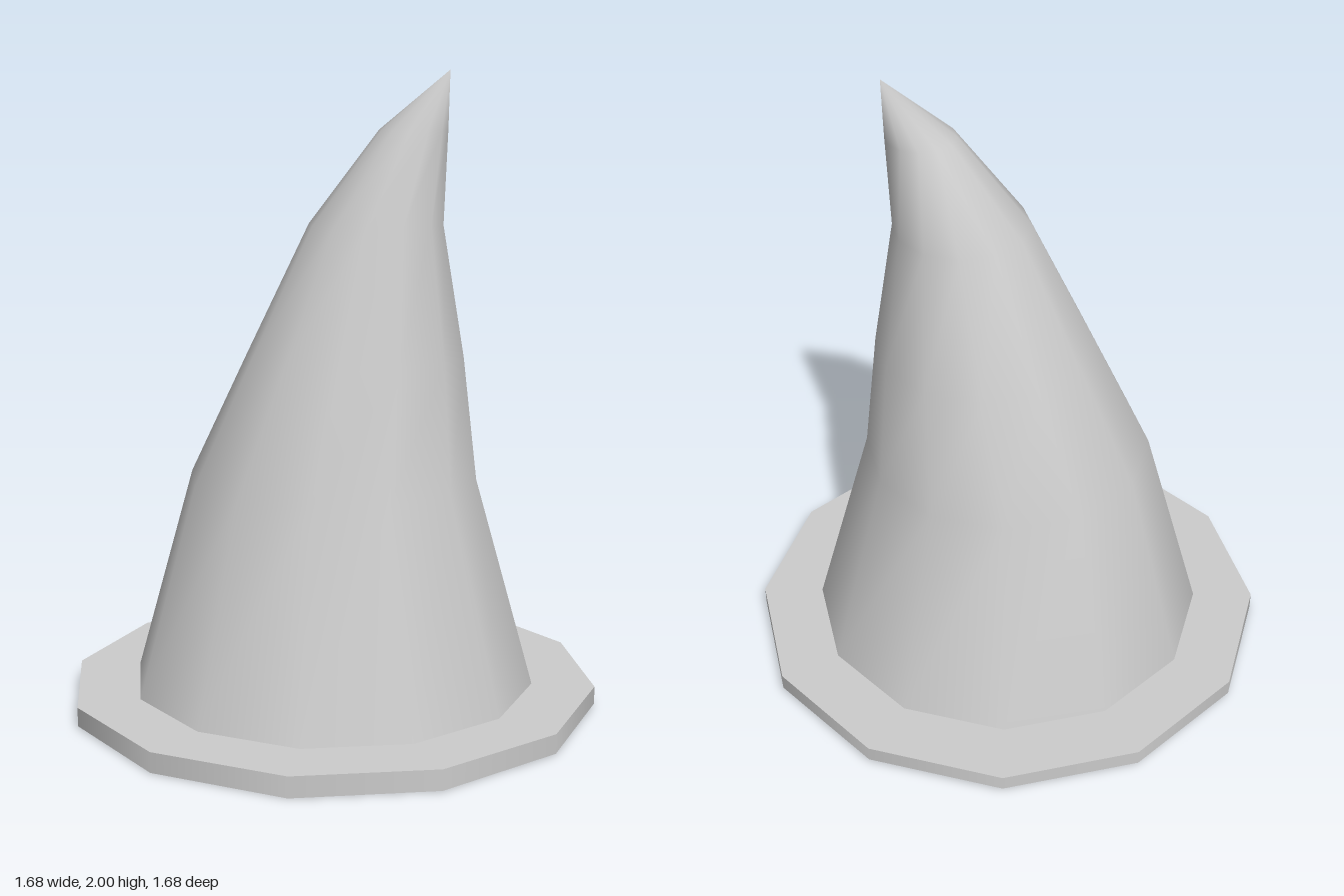
import * as THREE from 'three';

const SIDES = 12;
const TURN = -THREE.MathUtils.degToRad(5);

// Curved horn: rings of [y, centre x, centre z, radius], closed by a single tip point
function hornGeometry() {
  const rings = [
    [0.065, 0, 0, 0.645],
    [0.73, 0, 0, 0.458],
    [1.12, 0.07, 0.005, 0.343],
    [1.53, 0.135, 0.015, 0.21],
    [1.82, 0.25, 0.025, 0.106],
  ];
  const positions = [];
  const index = [];
  for (const [y, cx, cz, r] of rings) {
    for (let i = 0; i < SIDES; i++) {
      const a = TURN + (i / SIDES) * Math.PI * 2;
      positions.push(cx + r * Math.sin(a), y, cz + r * Math.cos(a));
    }
  }
  const tip = positions.length / 3;
  positions.push(0.36, 2, 0.03);

  for (let k = 0; k < rings.length; k++) {
    for (let i = 0; i < SIDES; i++) {
      const a = k * SIDES + i;
      const b = k * SIDES + ((i + 1) % SIDES);
      if (k === rings.length - 1) index.push(a, b, tip);
      else index.push(a, b, b + SIDES, a, b + SIDES, a + SIDES);
    }
  }
  const geometry = new THREE.BufferGeometry();
  geometry.setAttribute('position', new THREE.Float32BufferAttribute(positions, 3));
  geometry.setIndex(index);
  geometry.computeVertexNormals();
  return geometry;
}

// Twelve-sided base plate whose underside rises slightly towards the back
function baseGeometry() {
  const geometry = new THREE.CylinderGeometry(0.845, 0.845, 0.065, SIDES, 1, false, TURN);
  geometry.translate(0, 0.0325, 0);
  const p = geometry.attributes.position;
  for (let i = 0; i < p.count; i++) {
    if (p.getY(i) < 0.03) p.setY(i, 0.009 * (1 - p.getZ(i) / 0.845));
  }
  return geometry;
}

export function createModel() {
  const group = new THREE.Group();
  group.name = 'hornOnBase';
  const material = new THREE.MeshStandardMaterial({ color: 0xcccccc });
  const parts = { horn: hornGeometry(), basePlate: baseGeometry() };
  for (const [name, geometry] of Object.entries(parts)) {
    const mesh = new THREE.Mesh(geometry, material);
    mesh.name = name;
    group.add(mesh);
  }
  return group;
}
